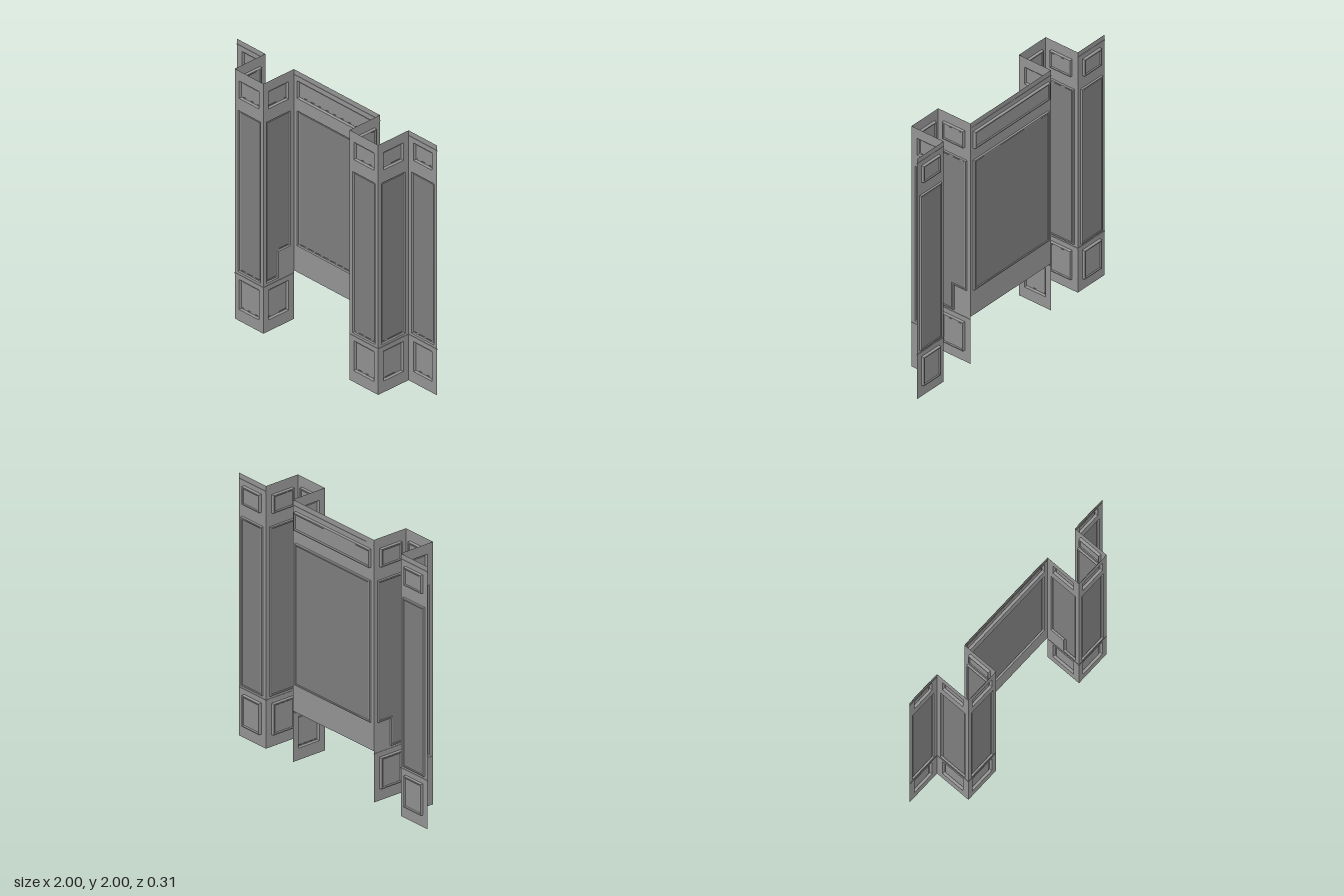
import * as THREE from 'three';

const paint = (color) => new THREE.MeshStandardMaterial({ color, side: THREE.DoubleSide, flatShading: true });
const frameMaterial = paint(0x969696), smallPanelMaterial = paint(0x929292), tallPanelMaterial = paint(0x7f7f7f);
const TOP = 2, BACK = -0.135, FRONT = 0.155;

// Counter-clockwise rectangle outline
const rect = (x0, y0, x1, y1) => [[x0, y0], [x1, y0], [x1, y1], [x0, y1]].map(([x, y]) => new THREE.Vector2(x, y));

// Move every edge of a right-angled outline inward by d
function inset(points, d) {
  const n = points.length;
  return points.map((p, i) => {
    const a = p.clone().sub(points[(i + n - 1) % n]).normalize();
    const b = points[(i + 1) % n].clone().sub(p).normalize();
    return new THREE.Vector2(p.x - d * (a.y + b.y), p.y + d * (a.x + b.x));
  });
}

// Grooved moulding around an opening: list of [inset, depth]
const DEEP = [[0, 0], [0.002, -0.022], [0.01, -0.022], [0.016, -0.016]];
const SHALLOW = [[0, 0], [0.002, -0.014], [0.011, -0.014], [0.016, -0.01]];

function addRecess(group, name, outline, steps, panelMaterial) {
  const positions = [];
  for (let s = 0; s < steps.length - 1; s++) {
    const outer = inset(outline, steps[s][0]), inner = inset(outline, steps[s + 1][0]);
    const zo = steps[s][1], zi = steps[s + 1][1];
    for (let i = 0; i < outline.length; i++) {
      const j = (i + 1) % outline.length;
      const a = [outer[i].x, outer[i].y, zo], b = [outer[j].x, outer[j].y, zo];
      const c = [inner[j].x, inner[j].y, zi], d = [inner[i].x, inner[i].y, zi];
      positions.push(...a, ...b, ...c, ...a, ...c, ...d);
    }
  }
  const geometry = new THREE.BufferGeometry();
  geometry.setAttribute('position', new THREE.Float32BufferAttribute(positions, 3));
  geometry.computeVertexNormals();
  const moulding = new THREE.Mesh(geometry, frameMaterial);
  moulding.name = name + 'Moulding';

  const [last, depth] = steps[steps.length - 1];
  const panel = new THREE.Mesh(new THREE.ShapeGeometry(new THREE.Shape(inset(outline, last))), panelMaterial);
  panel.position.z = depth;
  panel.name = name;
  group.add(moulding, panel);
}

// Flat wall from (x0, z0) to (x1, z1) with recessed panels; its front is on the +z side when run along +x
function makeWall(name, [x0, z0], [x1, z1], { bottom = 0, notch = null, margin = 0.05, rails = [0.367] } = {}) {
  const group = new THREE.Group();
  group.name = name;
  const w = Math.hypot(x1 - x0, z1 - z0);
  const centre = bottom > 0;

  const tall = rect(0.03, centre ? 0.6 : 0.39, w - 0.03, 1.68);
  const v = (x, y) => new THREE.Vector2(x, y);
  // Step cut from the lower corner beside the centre wall
  if (notch === 'end') tall.splice(1, 1, v(w / 2, 0.39), v(w / 2, 0.6), v(w - 0.03, 0.6));
  if (notch === 'start') tall.splice(0, 1, v(0.03, 0.6), v(w / 2, 0.6), v(w / 2, 0.39));

  const recesses = [
    ['upperPanel', rect(margin, 1.78, w - margin, 1.92), DEEP, smallPanelMaterial],
    ['tallPanel', tall, SHALLOW, tallPanelMaterial],
  ];
  if (!centre) recesses.push(['lowerPanel', rect(margin, 0.09, w - margin, 0.33), DEEP, smallPanelMaterial]);

  const shape = new THREE.Shape(rect(0, bottom, w, TOP));
  for (const recess of recesses) {
    shape.holes.push(new THREE.Path(recess[1]));
    addRecess(group, ...recess);
  }
  const sheet = new THREE.Mesh(new THREE.ShapeGeometry(shape), frameMaterial);
  sheet.name = 'frame';
  group.add(sheet);

  // Slim horizontal rails
  for (const y of rails) {
    const rail = new THREE.Mesh(new THREE.BoxGeometry(w, 0.007, 0.005), frameMaterial);
    rail.position.set(w / 2, y, 0);
    rail.name = 'rail';
    group.add(rail);
  }

  group.position.set(x0, 0, z0);
  group.rotation.y = -Math.atan2(z1 - z0, x1 - x0);
  return group;
}

export function createModel() {
  const model = new THREE.Group();
  model.name = 'panelledWall';
  const outer = 0.715, inner = 0.43;
  const wing = { rails: [0.367, 1.957] };
  const pierFront = { margin: 0.042 };

  model.add(
    makeWall('rightWing', [-1, BACK], [-outer, BACK], wing),
    makeWall('rightPierOuterSide', [-outer, BACK], [-outer, FRONT]),
    makeWall('rightPierFront', [-outer, FRONT], [-inner, FRONT], pierFront),
    makeWall('rightPierInnerSide', [-inner, FRONT], [-inner, BACK], { notch: 'end' }),
    makeWall('centreWall', [-inner, BACK], [inner, BACK], { bottom: 0.39, margin: 0.03, rails: [1.957] }),
    makeWall('leftPierInnerSide', [inner, BACK], [inner, FRONT], { notch: 'start' }),
    makeWall('leftPierFront', [inner, FRONT], [outer, FRONT], pierFront),
    makeWall('leftPierOuterSide', [outer, FRONT], [outer, BACK]),
    makeWall('leftWing', [outer, BACK], [1, BACK], wing),
  );
  return model;
}
